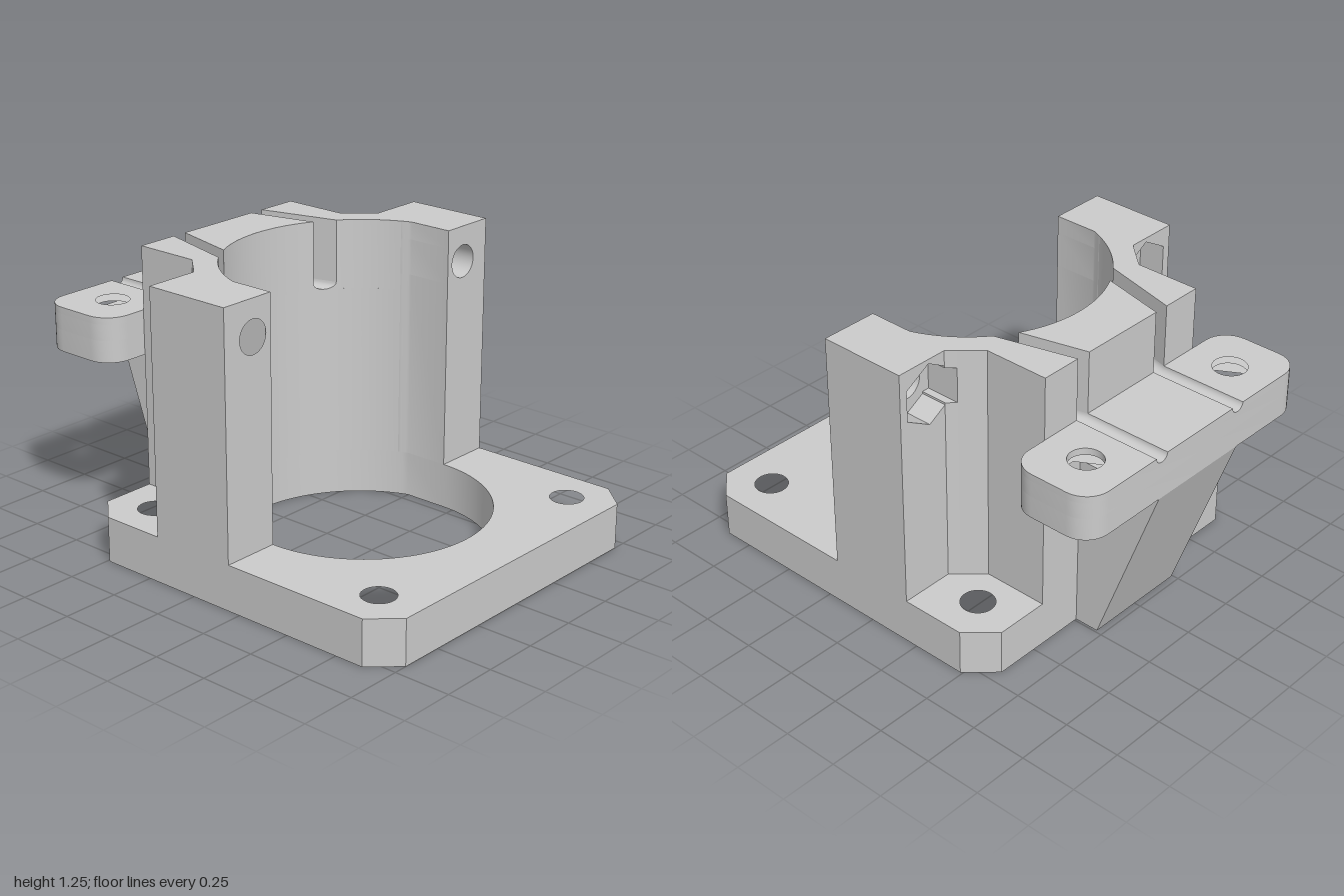
import * as THREE from 'three';
import { toCreasedNormals } from 'three/addons/utils/BufferGeometryUtils.js';

const grey = new THREE.MeshStandardMaterial({ color: 0xcccccc });
const greyDouble = new THREE.MeshStandardMaterial({ color: 0xcccccc, side: THREE.DoubleSide });

// Main dimensions
const TOP = 1.255, PLATE = 0.2, BACK = -0.61;
const BORE_X = 0.195, BORE_R = 0.58, BORE_Z = 0.545;
const TAB_LOW = 0.785, TAB_TOP = 0.98, SLOT_LOW = 0.95;
const BOLT_R = 0.072, NUT_R = 0.136, NUT_FLAT = 0.118;
const POCKET_X = -0.08, BOLT_Y = 1.1, BOLT_Z = 0.645;

const vec = ([x, y]) => new THREE.Vector2(x, y);
const boreX = z => BORE_X - Math.sqrt(BORE_R ** 2 - z * z);

// Points on the back of the bore between two z values
function boreArc(z0, z1, n = 32) {
  const a0 = Math.asin(z0 / BORE_R), a1 = Math.asin(z1 / BORE_R);
  return Array.from({ length: n + 1 }, (_, i) => {
    const a = a0 + (a1 - a0) * i / n;
    return [BORE_X - BORE_R * Math.cos(a), BORE_R * Math.sin(a)];
  });
}

// Points on an arc or a regular polygon
function ring(cx, cy, r, n = 40, start = 0, sweep = Math.PI * 2) {
  const count = sweep < 6 ? n + 1 : n;
  return Array.from({ length: count }, (_, i) => {
    const a = start + sweep * i / n;
    return [cx + r * Math.cos(a), cy + r * Math.sin(a)];
  });
}

function extrude(points, holes, depth) {
  const shape = new THREE.Shape(points.map(vec));
  shape.holes = holes.map(h => new THREE.Path(h.map(vec)));
  return new THREE.ExtrudeGeometry(shape, { depth, bevelEnabled: false });
}

function addMesh(parent, name, geometry, material = grey) {
  const mesh = new THREE.Mesh(geometry, material);
  mesh.name = name;
  parent.add(mesh);
}

// Solid from an (x, z) plan between two heights
function addPlan(parent, name, points, y0, y1, holes = []) {
  const flip = list => list.map(([x, z]) => [x, -z]);
  const g = extrude(flip(points), holes.map(flip), y1 - y0);
  g.rotateX(-Math.PI / 2).translate(0, y0, 0);
  addMesh(parent, name, toCreasedNormals(g, 0.5));
}

// Solid from a (z, y) outline between two x positions
function addSection(parent, name, points, x0, x1, holes = []) {
  const flip = list => list.map(([z, y]) => [-z, y]);
  const g = extrude(flip(points), holes.map(flip), x1 - x0);
  g.rotateY(Math.PI / 2).translate(x0, 0, 0);
  addMesh(parent, name, toCreasedNormals(g, 0.5));
}

// Round-bottomed wire groove across the tab and body, closed at both ends
function grooveGeometry(s) {
  const n = 12, pos = [], index = [];
  for (let i = 0; i <= n; i++) {
    const a = Math.PI * i / n, t = (1 - Math.cos(a)) / 2;
    const y = TAB_TOP - 0.029 * Math.sin(a);
    const z0 = s * (0.2 + 0.065 * t), z1 = s * (0.272 + 0.085 * t);
    pos.push(-1, SLOT_LOW, z0, -1, y, z0, BACK, y, z0, boreX(z1), y, z1, boreX(z1), SLOT_LOW, z1);
    if (i === n) break;
    for (let j = 0; j < 4; j++) {
      const a0 = i * 5 + j, b0 = a0 + 5;
      if (s > 0) index.push(a0, b0, a0 + 1, b0, b0 + 1, a0 + 1);
      else index.push(a0, a0 + 1, b0, b0, a0 + 1, b0 + 1);
    }
  }
  const g = new THREE.BufferGeometry();
  g.setAttribute('position', new THREE.Float32BufferAttribute(pos, 3));
  g.setIndex(index);
  return toCreasedNormals(g, 0.5);
}

export function createModel() {
  const model = new THREE.Group();
  model.name = 'motorMount';
  const mirror = (points, s) => points.map(([a, b]) => [s * a, b]);
  const mirrorZ = (points, s) => points.map(([x, z]) => [x, s * z]);

  // Base plate with chamfered corners, bore and four bolt holes
  const boltHoles = [-0.41, 0.8].flatMap(x => [-0.61, 0.61].map(z => ring(x, z, BOLT_R)));
  const bore = [...boreArc(-BORE_Z, BORE_Z, 48),
    ...ring(BORE_X, 0, BORE_Z, 48, Math.PI / 2, -Math.PI)];
  addPlan(model, 'basePlate', [[BACK, -0.69], [-0.49, -0.8], [0.88, -0.8], [1, -0.69],
    [1, 0.69], [0.88, 0.8], [-0.49, 0.8], [BACK, 0.69]], 0, PLATE, [bore, ...boltHoles]);

  // Cradle wall behind the bore, below the grooves
  addPlan(model, 'cradleWall', [[BACK, 0.45], [-0.32, 0.45], [-0.235, 0.527],
    ...boreArc(0.527, -0.527, 48), [-0.235, -0.527], [-0.32, -0.45], [BACK, -0.45]],
  PLATE, SLOT_LOW);
  addPlan(model, 'cradleTopMiddle', [[BACK, -0.2], ...boreArc(-0.272, 0.272), [BACK, 0.2]],
    SLOT_LOW, TOP);

  // Tab: plain lower part with nut pockets, gusset below
  const R = 0.11, q = Math.PI / 2;
  const tabEnd = [...ring(BACK - R, 0.65 - R, R, 8, 0, q), ...ring(-1 + R, 0.65 - R, R, 8, q, q)];
  const tabPlan = [...tabEnd, ...mirrorZ(tabEnd, -1).reverse()];
  const tabHoles = (r, n) => [-1, 1].map(s => ring(-0.805, s * 0.44, r, n, q));
  addPlan(model, 'tabNutLayer', tabPlan, TAB_LOW, 0.88, tabHoles(NUT_R, 6));
  addPlan(model, 'tab', tabPlan, 0.88, SLOT_LOW, tabHoles(BOLT_R, 40));
  addPlan(model, 'tabTopMiddle', [[-1, -0.2], [BACK, -0.2], [BACK, 0.2], [-1, 0.2]],
    SLOT_LOW, TAB_TOP);
  const gusset = extrude([[BACK, 0], [-0.72, 0], [-1, TAB_LOW], [BACK, TAB_LOW]], [], 0.48);
  addMesh(model, 'gusset', gusset.translate(0, 0, -0.24));

  for (const s of [1, -1]) {
    const side = new THREE.Group();
    side.name = s > 0 ? 'frontSide' : 'backSide';
    model.add(side);

    // Parts outside the groove
    addPlan(side, 'cradleTopSide', mirrorZ([[BACK, 0.265], ...boreArc(0.357, 0.527, 16),
      [-0.235, 0.527], [-0.32, 0.45], [BACK, 0.45]], s), SLOT_LOW, TOP);
    addPlan(side, 'tabTopSide', mirrorZ([[BACK, 0.265], ...tabEnd, [-1, 0.265]], s),
      SLOT_LOW, TAB_TOP, [ring(-0.805, s * 0.44, BOLT_R)]);
    addMesh(side, 'groove', grooveGeometry(s), greyDouble);

    // Strip joining wall and ear, opened where the nut pocket breaks through
    const edge = [[BORE_X, 0.56], [BORE_X, BORE_Z], ...boreArc(BORE_Z, 0.527, 4)];
    const strip = mirrorZ([[-0.235, 0.527], [-0.2, 0.56], ...edge], s);
    addPlan(side, 'earRoot', strip, PLATE, BOLT_Y - 0.078);
    addPlan(side, 'earRootTop', strip, BOLT_Y + 0.078, TOP);
    addPlan(side, 'earRootPocket', mirrorZ([[POCKET_X, 0.527], [POCKET_X, 0.56], ...edge], s),
      BOLT_Y - 0.078, BOLT_Y + 0.078);

    // Clamp ear: hexagonal pocket at the back, round bolt hole in front
    const box = [[0.56, PLATE], [0.8, PLATE], [0.8, TOP], [0.56, TOP]];
    const nut = [[0.56, 0.087], [BOLT_Z, NUT_R], [BOLT_Z + NUT_FLAT, 0.068],
      [BOLT_Z + NUT_FLAT, -0.068], [BOLT_Z, -NUT_R], [0.56, -0.087]];
    addSection(side, 'earNutLayer',
      mirror([...box, ...nut.map(([z, y]) => [z, y + BOLT_Y])], s), -0.2, POCKET_X);
    addSection(side, 'ear', mirror(box, s), POCKET_X, BORE_X,
      [ring(s * BOLT_Z, BOLT_Y, BOLT_R)]);
  }
  return model;
}
